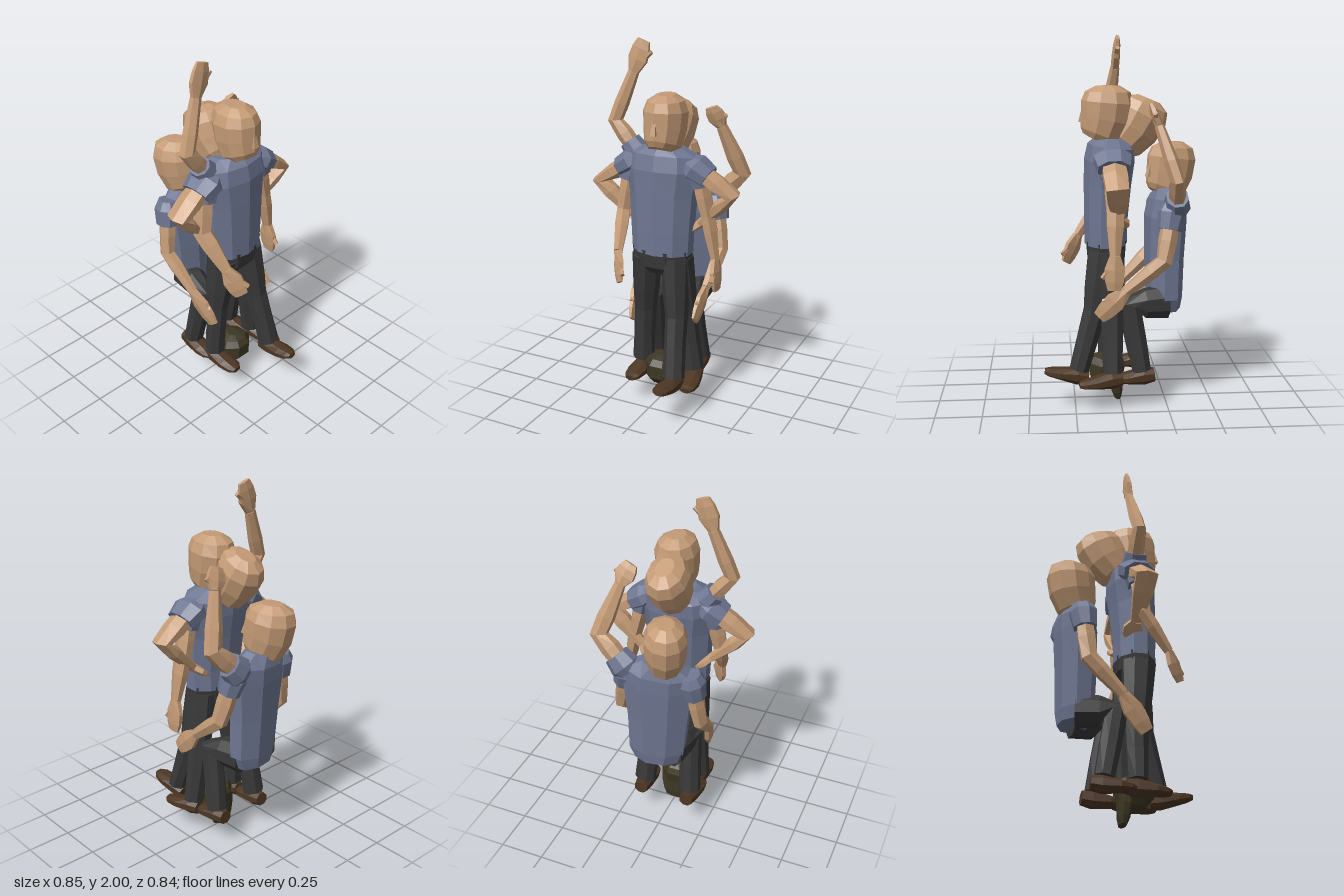
import * as THREE from 'three';

const mat = (color) => new THREE.MeshStandardMaterial({ color, flatShading: true });
const SKIN = mat(0xc49b76), SHIRT = mat(0x6f7792), PANTS = mat(0x383839);
const SHOE = mat(0x4d3623), CAP = mat(0x3d3724);
const X = [1, 0, 0], Z = [0, 0, 1];

// Faceted tube through stations [x, y, z, halfWidth, halfDepth]; width runs along ref
function loft(name, material, stations, ref = X, sides = 8) {
  const pts = stations.map((s) => new THREE.Vector3(s[0], s[1], s[2]));
  const pos = [], index = [], n = stations.length, grow = 1 / Math.cos(Math.PI / sides);
  pts.forEach((p, i) => {
    const t = pts[Math.min(i + 1, n - 1)].clone().sub(pts[Math.max(i - 1, 0)]).normalize();
    const u = new THREE.Vector3(...ref);
    u.addScaledVector(t, -u.dot(t)).normalize();
    const v = t.clone().cross(u);
    for (let k = 0; k < sides; k++) {
      const a = ((k + 0.5) / sides) * Math.PI * 2;
      const q = p.clone().addScaledVector(u, Math.cos(a) * stations[i][3] * grow)
        .addScaledVector(v, Math.sin(a) * stations[i][4] * grow);
      pos.push(q.x, q.y, q.z);
    }
  });
  for (let i = 0; i < n - 1; i++) {
    for (let k = 0; k < sides; k++) {
      const a = i * sides + k, b = i * sides + ((k + 1) % sides);
      index.push(a, b, a + sides, b, b + sides, a + sides);
    }
  }
  const top = (n - 1) * sides;
  for (let k = 1; k < sides - 1; k++) index.push(0, k + 1, k, top, top + k, top + k + 1);
  const g = new THREE.BufferGeometry();
  g.setAttribute('position', new THREE.Float32BufferAttribute(pos, 3));
  g.setIndex(index);
  const flat = g.toNonIndexed();
  flat.computeVertexNormals();
  const mesh = new THREE.Mesh(flat, material);
  mesh.name = name;
  return mesh;
}

const group = (name, ...parts) => {
  const g = new THREE.Group();
  g.name = name;
  g.add(...parts);
  return g;
};
const mix = (a, b, t) => a.map((v, i) => v + (b[i] - v) * t);

// Head with forward jaw, rounded crown and nose, centred on its own origin
function head(name, [x, y, z], rx = 0, ry = 0, rz = 0) {
  const skull = loft('skull', SKIN, [
    [0, -0.143, 0.05, 0.065, 0.085], [0, -0.11, 0.033, 0.092, 0.11], [0, -0.03, 0.008, 0.106, 0.128],
    [0, 0.06, -0.002, 0.11, 0.133], [0, 0.115, -0.004, 0.09, 0.115], [0, 0.147, -0.004, 0.045, 0.06],
  ], X, 10);
  const nose = loft('nose', SKIN, [[0, 0.03, 0.126, 0.008, 0.008], [0, -0.045, 0.133, 0.016, 0.02]], X, 4);
  const g = group(name, skull, nose);
  g.position.set(x, y, z);
  g.rotation.set(rx, ry, rz);
  return g;
}

// Sleeve, bent arm, palm and thumb; palm width runs along ref
function arm(name, shoulder, elbow, wrist, tip, ref = Z, w = 1) {
  const palm = mix(wrist, tip, 0.4);
  const thumbTip = mix(wrist, tip, 0.65).map((v, i) => v + ref[i] * 0.064);
  return group(name,
    loft('sleeve', SHIRT, [
      [...mix(shoulder, elbow, -0.12), 0.06 * w, 0.045], [...mix(shoulder, elbow, 0.05), 0.08 * w, 0.066],
      [...mix(shoulder, elbow, 0.38), 0.066 * w, 0.056]], ref),
    loft('arm', SKIN, [
      [...mix(shoulder, elbow, 0.15), 0.045 * w, 0.04], [...mix(shoulder, elbow, 0.6), 0.05 * w, 0.039],
      [...elbow, 0.046 * w, 0.033], [...mix(elbow, wrist, 0.35), 0.043 * w, 0.034],
      [...wrist, 0.027, 0.022]], ref, 6),
    loft('hand', SKIN, [
      [...wrist, 0.027, 0.02], [...palm, 0.053, 0.02],
      [...mix(wrist, tip, 0.75), 0.048, 0.017], [...tip, 0.035, 0.01]], ref, 6),
    loft('thumb', SKIN, [[...mix(wrist, tip, 0.2), 0.016, 0.016], [...thumbTip, 0.011, 0.01]], [0.6, 0.5, 0.62], 5));
}

// Trouser leg and shoe
function leg(name, hip, knee, ankle, heel, toe) {
  return group(name,
    loft('trouserLeg', PANTS, [
      [...hip, 0.075, 0.088], [...mix(hip, knee, 0.6), 0.066, 0.076], [...knee, 0.056, 0.062],
      [...mix(knee, ankle, 0.5), 0.054, 0.056], [...ankle, 0.058, 0.05]]),
    loft('shoe', SHOE, [
      [...heel, 0.038, 0.035], [...mix(heel, toe, 0.25), 0.046, 0.045],
      [...mix(heel, toe, 0.65), 0.053, 0.03], [...mix(heel, toe, 0.9), 0.043, 0.021],
      [...toe, 0.025, 0.014]]));
}

export function createModel() {
  const model = new THREE.Group();
  model.name = 'layeredPoses';

  // Standing body
  model.add(group('standingBody',
    loft('shirt', SHIRT, [
      [0, 0.88, 0.075, 0.165, 0.11], [0, 1.0, 0.075, 0.17, 0.112], [0, 1.2, 0.065, 0.182, 0.122],
      [0, 1.33, 0.055, 0.205, 0.13], [0, 1.41, 0.045, 0.192, 0.122], [0, 1.455, 0.04, 0.1, 0.085]], X, 10),
    loft('pelvis', PANTS, [
      [0, 0.77, 0.07, 0.1, 0.07], [0, 0.81, 0.075, 0.155, 0.1], [0, 0.9, 0.075, 0.16, 0.105]]),
    loft('neck', SKIN, [[0, 1.4, 0.03, 0.065, 0.065], [0.01, 1.5, 0.05, 0.065, 0.07]]),
    loft('leaningNeck', SKIN, [[0, 1.38, 0.0, 0.06, 0.06], [0, 1.5, -0.07, 0.065, 0.07]]),
    head('headUpright', [0.015, 1.583, 0.067]),
    head('headTiltedBack', [-0.012, 1.525, -0.1], -0.4)));

  // Arms of the standing body: hands on hips, one waving, one hanging, one reaching
  for (const s of [-1, 1]) {
    const z = 0.05 - s * 0.012;
    model.add(arm(s < 0 ? 'rightArmOnHip' : 'leftArmOnHip',
      [s * 0.17, 1.365, 0.05], [s * 0.385, 1.225, z], [s * 0.2, 1.045, z - 0.02], [s * 0.12, 0.985, z - 0.035], Z, 1.25));
  }
  model.add(
    arm('wavingArm', [-0.16, 1.39, 0.04], [-0.295, 1.56, 0.045], [-0.2, 1.82, 0.01], [-0.145, 1.985, 0], X, 0.8),
    arm('hangingArm', [0.19, 1.36, 0.05], [0.25, 1.1, 0.04], [0.295, 0.87, 0.045], [0.31, 0.69, 0.05], Z),
    arm('reachingArm', [-0.19, 1.36, 0.05], [-0.235, 1.08, 0.08], [-0.195, 0.89, 0.22], [-0.15, 0.74, 0.29], [0.7, 0, 0.71]));

  // Standing and striding legs
  model.add(
    leg('stridingLeftLeg', [0.085, 0.85, 0.085], [0.115, 0.53, 0.14], [0.14, 0.21, 0.23],
      [0.14, 0.165, 0.18], [0.14, 0.205, 0.415]),
    leg('standingRightLeg', [-0.09, 0.85, 0.08], [-0.115, 0.52, 0.06], [-0.13, 0.2, 0.06],
      [-0.13, 0.165, 0.0], [-0.125, 0.145, 0.235]),
    leg('standingLeftLeg', [0.09, 0.85, 0.07], [0.13, 0.52, 0.05], [0.175, 0.2, 0.05],
      [0.175, 0.165, 0.0], [0.215, 0.145, 0.23]));

  // Seated body behind
  model.add(group('seatedBody',
    loft('shirt', SHIRT, [
      [0, 0.51, -0.25, 0.12, 0.075], [0, 0.58, -0.245, 0.15, 0.088], [-0.01, 0.8, -0.245, 0.162, 0.095],
      [-0.015, 1.02, -0.252, 0.182, 0.1], [-0.02, 1.11, -0.262, 0.18, 0.09], [-0.03, 1.17, -0.268, 0.09, 0.065]],
    [1, 0, -0.16]),
    loft('neck', SKIN, [[-0.03, 1.12, -0.27, 0.06, 0.06], [-0.05, 1.22, -0.28, 0.065, 0.065]]),
    head('headLowered', [-0.068, 1.277, -0.287], -0.05, 0.42, 0.03)));
  model.add(
    arm('raisedArm', [0.15, 1.1, -0.295], [0.31, 1.26, -0.275], [0.22, 1.53, -0.19], [0.175, 1.635, -0.15], X),
    arm('seatedLeftArm', [0.16, 1.08, -0.27], [0.22, 0.82, -0.22], [0.215, 0.66, -0.02], [0.215, 0.52, 0.125], [0, 0.6, 0.5], 0.9),
    arm('seatedRightArm', [-0.195, 1.08, -0.24], [-0.235, 0.8, -0.21], [-0.215, 0.62, -0.03], [-0.18, 0.44, 0.1], [0, 0.6, 0.5], 0.9));
  for (const s of [-1, 1]) {
    model.add(leg(s < 0 ? 'seatedRightLeg' : 'seatedLeftLeg',
      [s * 0.075, 0.565, -0.25], [s * 0.12, 0.56, -0.045], [s * 0.14, 0.2, -0.11],
      [s * 0.14, 0.17, -0.18], [s * 0.15, 0.15, 0.05]));
  }

  // Cap lying between the feet, brim pointing down
  model.add(group('cap',
    loft('crown', CAP, [
      [0, 0.09, 0.075, 0.075, 0.05], [0, 0.13, 0.075, 0.095, 0.09], [0, 0.2, 0.07, 0.095, 0.098],
      [0, 0.235, 0.065, 0.075, 0.08], [0, 0.255, 0.065, 0.03, 0.04]]),
    loft('brim', CAP, [
      [0, 0.16, 0.03, 0.085, 0.045], [0, 0.1, 0.02, 0.082, 0.035],
      [0, 0.04, 0.015, 0.07, 0.03], [0, 0.0, 0.01, 0.055, 0.018]])));
  return model;
}
